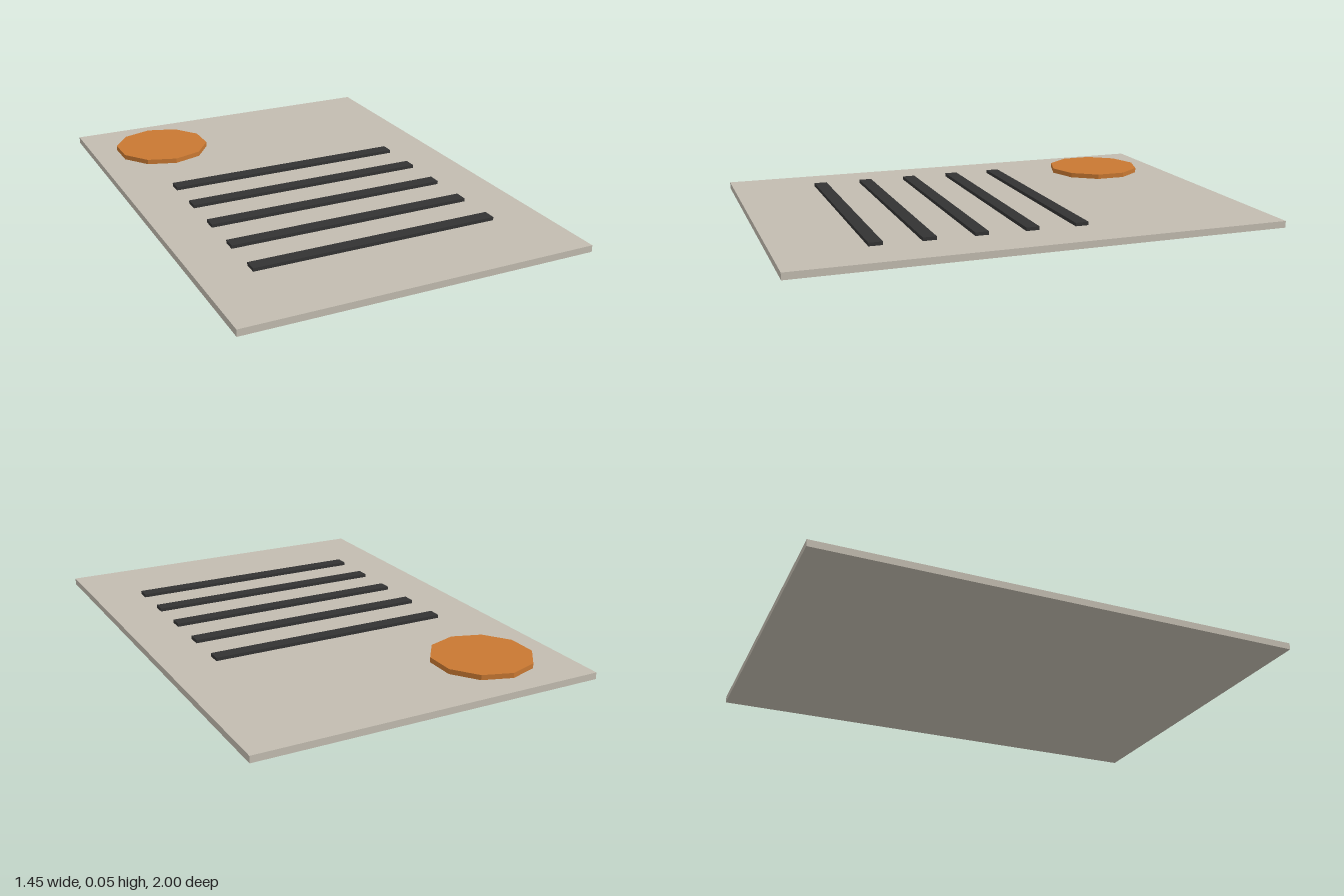
import * as THREE from 'three';

export function createModel() {
  const model = new THREE.Group();
  const paper = new THREE.MeshStandardMaterial({ color: 0xc2bcb0 });
  const ink = new THREE.MeshStandardMaterial({ color: 0x333333 });
  const copper = new THREE.MeshStandardMaterial({ color: 0xc87832 });
  paper.name = 'paper';
  ink.name = 'ink';
  copper.name = 'copper';
  copper.flatShading = true;

  const thickness = 0.0276;
  const add = (name, geometry, material, x, y, z) => {
    const mesh = new THREE.Mesh(geometry, material);
    mesh.name = name;
    mesh.position.set(x, y, z);
    model.add(mesh);
  };

  // Flat sheet
  add('sheet', new THREE.BoxGeometry(1.45, thickness, 2), paper, 0, thickness / 2, 0);

  // Ten-sided seal in the back right corner
  const sealHeight = 0.0207;
  add('seal', new THREE.CylinderGeometry(0.207, 0.207, sealHeight, 10), copper,
    -0.414, thickness + sealHeight / 2, -0.69);

  // Five raised lines
  const lineHeight = 0.0138;
  const lineGeometry = new THREE.BoxGeometry(1.035, lineHeight, 0.055);
  for (let i = 0; i < 5; i++) {
    add(`line${i + 1}`, lineGeometry, ink, 0, thickness + lineHeight / 2, -0.207 + i * 0.207);
  }

  return model;
}
